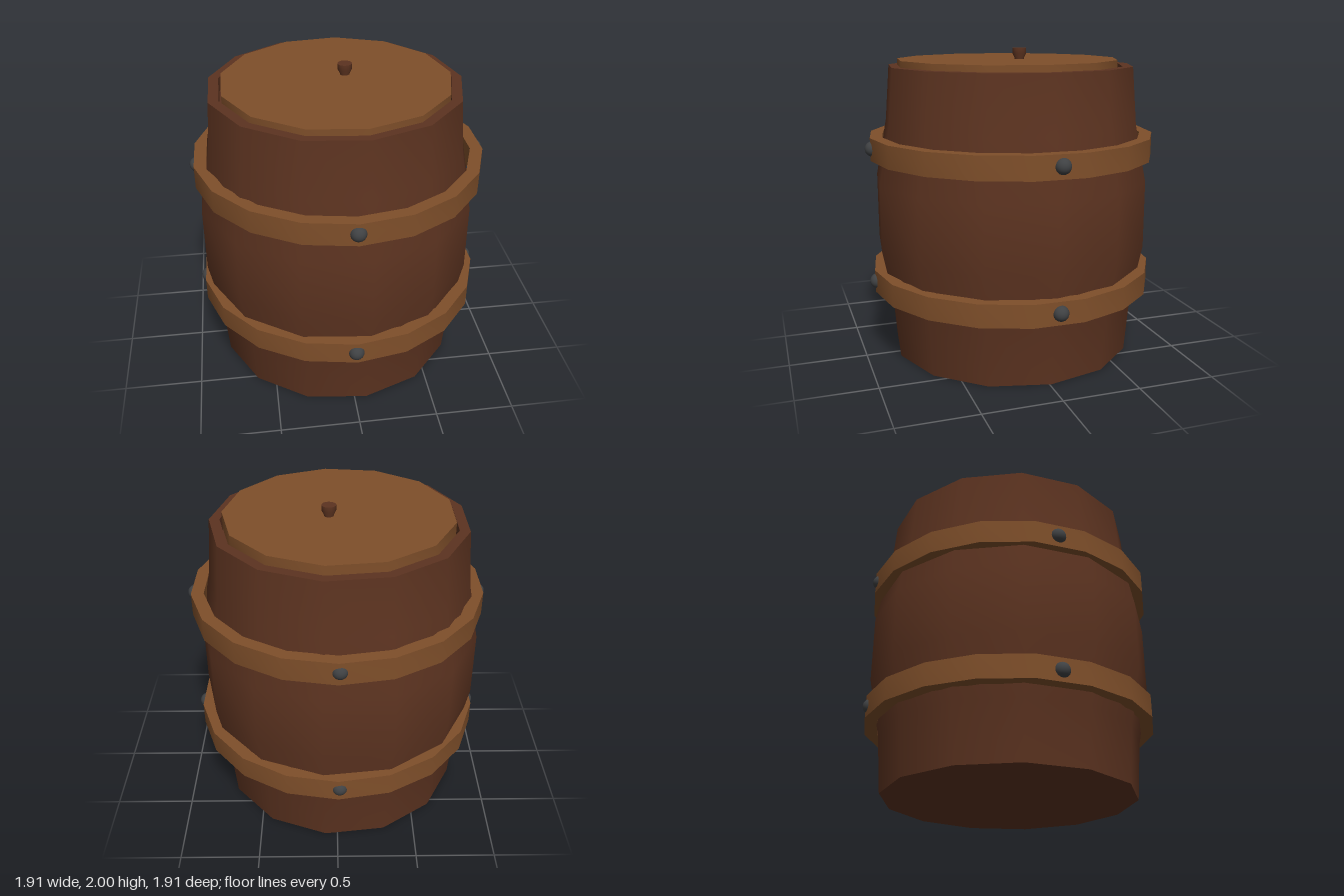
import * as THREE from 'three';
import { toCreasedNormals } from 'three/addons/utils/BufferGeometryUtils.js';

const darkWood = new THREE.MeshStandardMaterial({ color: 0x5c3320 });
const lightWood = new THREE.MeshStandardMaterial({ color: 0x7f4f2a });
const iron = new THREE.MeshStandardMaterial({ color: 0x3f4143 });

// Turned part from a [radius, y] profile, smooth around and sharp at its rims
function turned(name, profile, sides, phiStart, material) {
  const points = profile.map(([r, y]) => new THREE.Vector2(r, y));
  const geometry = new THREE.LatheGeometry(points, sides, phiStart);
  const mesh = new THREE.Mesh(toCreasedNormals(geometry, 0.6), material);
  mesh.name = name;
  return mesh;
}

export function createModel() {
  const barrel = new THREE.Group();
  barrel.name = 'barrel';

  // Bulging 13-sided body with a shallow recess for the lid
  const body = turned('body', [
    [0, 0], [0.8, 0], [0.83, 0.36], [0.903, 0.73], [0.903, 1.16],
    [0.83, 1.53], [0.8, 1.89], [0.735, 1.89], [0.735, 1.8], [0, 1.8],
  ], 13, Math.PI / 2, darkWood);
  body.position.set(-0.02, 0, -0.01);
  barrel.add(body);

  // Lid, set slightly off centre
  const lid = turned('lid', [
    [0, 1.82], [0.72, 1.82], [0.72, 1.93], [0, 1.93],
  ], 13, Math.PI / 2, lightWood);
  lid.position.set(-0.018, 0, 0.012);
  barrel.add(lid);

  // Small knob on the lid
  const knob = turned('lidKnob', [
    [0, 1.92], [0.03, 1.92], [0.03, 1.935], [0.045, 1.965], [0.045, 2], [0, 2],
  ], 16, 0, darkWood);
  knob.position.set(0.045, 0, -0.05);
  barrel.add(knob);

  // Two hoops, each with four rivets
  for (const [label, y, rivetY] of [['lower', 0.51, 0.51], ['upper', 1.38, 1.383]]) {
    const h = 0.073;
    const hoop = turned(label + 'Hoop', [
      [0.85, y - h], [0.93, y - h], [0.93, y + h], [0.85, y + h], [0.85, y - h],
    ], 18, 0, lightWood);
    hoop.position.set(-0.005, 0, -0.007);
    barrel.add(hoop);

    for (let i = 0; i < 4; i++) {
      const angle = (i * Math.PI) / 2;
      const rivet = new THREE.Mesh(new THREE.SphereGeometry(0.049, 20, 14), iron);
      rivet.name = label + 'Rivet';
      rivet.position.set(
        -0.012 * Math.abs(Math.cos(angle)) + 0.907 * Math.sin(angle),
        rivetY,
        -0.015 * Math.abs(Math.sin(angle)) + 0.907 * Math.cos(angle)
      );
      barrel.add(rivet);
    }
  }

  return barrel;
}
